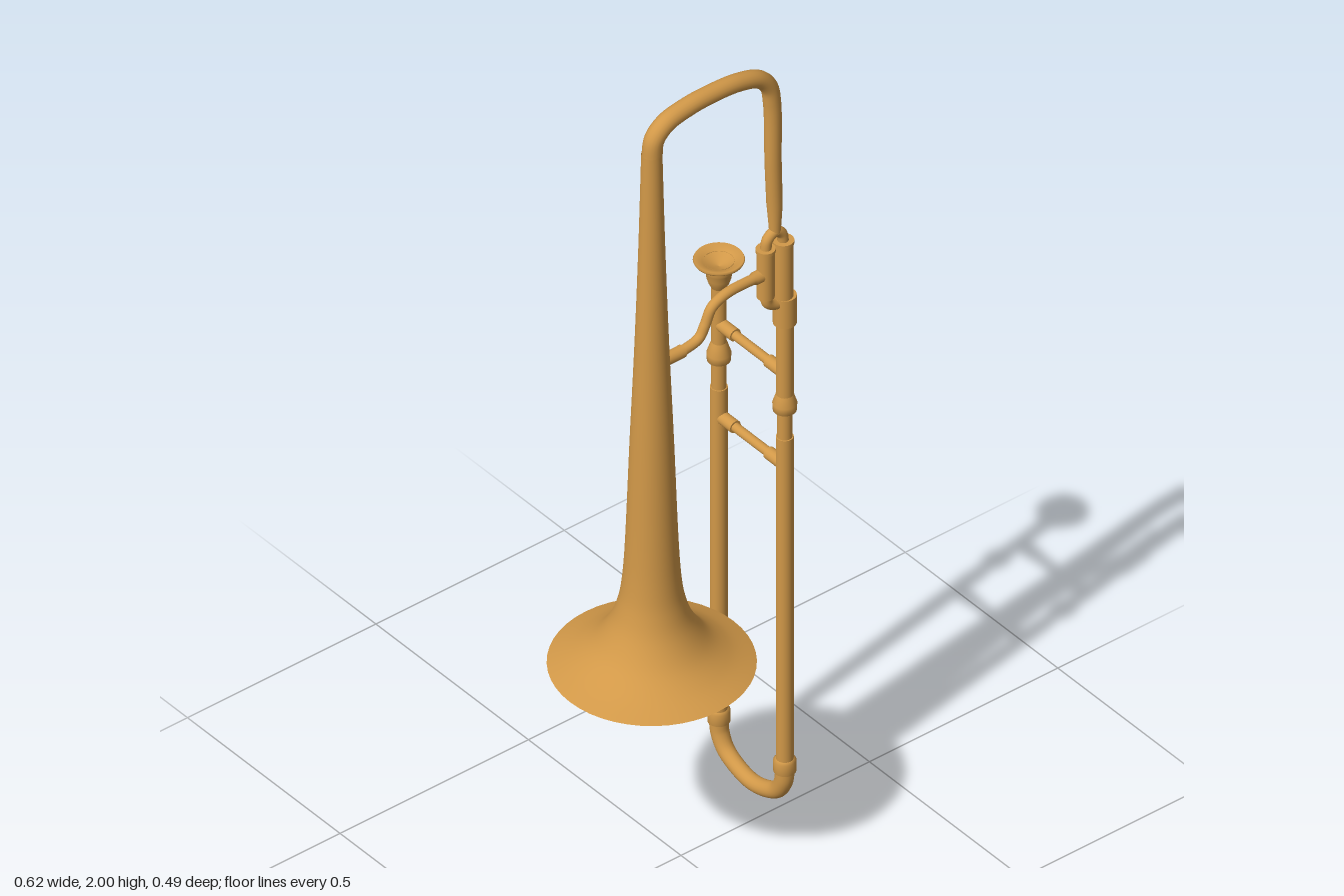
import * as THREE from 'three';

const brass = new THREE.MeshStandardMaterial({ color: 0xd19848, side: THREE.DoubleSide });
const V = (x, y, z) => new THREE.Vector3(x, y, z);

const BELL_X = -0.097, SLIDE_X = 0.256, FRONT_Z = 0.024, BACK_Z = -0.192;

function add(parent, name, geometry, x = 0, y = 0, z = 0) {
  const mesh = new THREE.Mesh(geometry, brass);
  mesh.name = name;
  mesh.position.set(x, y, z);
  parent.add(mesh);
  return mesh;
}

// Upright cylinder between two heights
function rod(parent, name, x, z, y0, y1, r, rTop = r) {
  return add(parent, name, new THREE.CylinderGeometry(rTop, r, y1 - y0, 28), x, (y0 + y1) / 2, z);
}

// Turned part from [radius, height] pairs; soft = smooth the profile
function turned(parent, name, x, z, pairs, soft = false) {
  let pts = pairs.map(([r, y]) => new THREE.Vector2(r, y));
  if (soft) pts = new THREE.SplineCurve(pts).getPoints(60);
  return add(parent, name, new THREE.LatheGeometry(pts, 48), x, 0, z);
}

// Bent tube whose radius follows radiusAt(t)
function bentTube(parent, name, points, radiusAt, segments = 64) {
  const curve = new THREE.CatmullRomCurve3(points);
  const geo = new THREE.TubeGeometry(curve, segments, 1, 20);
  const pos = geo.attributes.position, p = V(0, 0, 0);
  for (let i = 0; i < pos.count; i++) {
    const t = Math.floor(i / 21) / segments;
    const c = curve.getPointAt(t);
    p.fromBufferAttribute(pos, i).sub(c).multiplyScalar(radiusAt(t)).add(c);
    pos.setXYZ(i, p.x, p.y, p.z);
  }
  return add(parent, name, geo);
}

export function createModel() {
  const model = new THREE.Group();
  model.name = 'trombone';

  // Flared bell
  turned(model, 'bell', BELL_X, FRONT_Z, [
    [0.217, 0.573], [0.165, 0.598], [0.122, 0.632], [0.09, 0.68], [0.072, 0.73], [0.062, 0.79],
    [0.055, 0.9], [0.046, 1.15], [0.036, 1.4], [0.028, 1.65], [0.022, 1.9],
  ], true);

  // Tuning bow over the top, narrowing down to the valve
  bentTube(model, 'tuningBow', [
    V(BELL_X, 1.89, FRONT_Z), V(-0.09, 1.935, FRONT_Z), V(-0.06, 1.963, FRONT_Z), V(0, 1.977, FRONT_Z),
    V(0.06, 1.98, FRONT_Z), V(0.13, 1.975, FRONT_Z), V(0.185, 1.957, FRONT_Z), V(0.213, 1.925, FRONT_Z),
    V(0.222, 1.88, FRONT_Z), V(0.225, 1.72, FRONT_Z), V(0.229, 1.6, FRONT_Z), V(0.23, 1.535, FRONT_Z),
  ], t => t < 0.9 ? 0.022 - 0.0055 * t : 0.017 - 0.05 * (t - 0.9), 120);

  // Twin valve barrels joined by a small bow above and an elbow below
  const valve = new THREE.Group();
  valve.name = 'valve';
  model.add(valve);
  rod(valve, 'outerBarrel', 0.252, FRONT_Z, 1.355, 1.5, 0.021);
  rod(valve, 'innerBarrel', 0.205, FRONT_Z, 1.38, 1.5, 0.019);
  rod(valve, 'outerCap', 0.252, FRONT_Z, 1.497, 1.505, 0.023);
  rod(valve, 'innerCap', 0.205, FRONT_Z, 1.497, 1.505, 0.021);
  bentTube(valve, 'upperBow', [
    V(0.205, 1.5, FRONT_Z), V(0.21, 1.525, FRONT_Z), V(0.229, 1.538, FRONT_Z),
    V(0.247, 1.525, FRONT_Z), V(0.252, 1.5, FRONT_Z),
  ], () => 0.012, 32);
  bentTube(valve, 'lowerElbow', [
    V(0.205, 1.39, FRONT_Z), V(0.209, 1.362, FRONT_Z), V(0.228, 1.348, FRONT_Z), V(0.256, 1.345, FRONT_Z),
  ], () => 0.012, 32);
  rod(valve, 'slideReceiver', SLIDE_X, FRONT_Z, 1.288, 1.36, 0.025);

  // S-shaped brace from bell to valve
  bentTube(model, 'bellBrace', [
    V(-0.07, 1.345, FRONT_Z), V(-0.01, 1.346, FRONT_Z), V(0.028, 1.357, FRONT_Z), V(0.045, 1.385, FRONT_Z),
    V(0.062, 1.42, FRONT_Z), V(0.1, 1.438, FRONT_Z), V(0.2, 1.44, FRONT_Z),
  ], t => t < 0.18 || t > 0.92 ? 0.0145 : 0.0115);

  // Two slide legs with collars and ferrules
  for (const [side, z, top] of [['front', FRONT_Z, 1.29], ['back', BACK_Z, 1.26]]) {
    const leg = new THREE.Group();
    leg.name = side + 'SlideLeg';
    model.add(leg);
    rod(leg, 'outerTube', SLIDE_X, z, 0.14, 0.99, 0.0185);
    rod(leg, 'middleTube', SLIDE_X, z, 0.985, 1.065, 0.016);
    rod(leg, 'upperTube', SLIDE_X, z, 1.06, top, z > 0 ? 0.0185 : 0.016);
    turned(leg, 'ferrule', SLIDE_X, z, [
      [0.016, 1.055], [0.025, 1.06], [0.026, 1.078], [0.019, 1.1], [0.016, 1.108],
    ]);
    turned(leg, 'lowerCollar', SLIDE_X, z, [
      [0.018, 0.113], [0.024, 0.117], [0.024, 0.145], [0.018, 0.15],
    ]);
  }

  // Bow at the foot of the slide
  bentTube(model, 'slideBow', [
    V(SLIDE_X, 0.13, FRONT_Z), V(SLIDE_X, 0.09, 0.021), V(SLIDE_X, 0.055, 0.002),
    V(SLIDE_X, 0.033, -0.035), V(SLIDE_X, 0.0225, -0.084), V(SLIDE_X, 0.033, -0.133),
    V(SLIDE_X, 0.055, -0.17), V(SLIDE_X, 0.09, -0.189), V(SLIDE_X, 0.13, BACK_Z),
  ], t => 0.021 - 0.003 * Math.sin(Math.PI * t));

  // Hand braces with thicker end sockets
  for (const y of [0.915, 1.155]) {
    const brace = new THREE.Group();
    brace.name = 'handBrace';
    model.add(brace);
    for (const [name, z0, z1, r] of [
      ['bar', BACK_Z, FRONT_Z, 0.0105], ['frontSocket', -0.028, FRONT_Z, 0.0145], ['backSocket', BACK_Z, -0.138, 0.0145],
    ]) add(brace, name, new THREE.CylinderGeometry(r, r, z1 - z0, 20), SLIDE_X, y, (z0 + z1) / 2).rotation.x = Math.PI / 2;
  }

  // Mouthpiece: shank, cup and wide rim with a shallow hollow
  turned(model, 'mouthpieceCup', SLIDE_X, BACK_Z, [
    [0.016, 1.25], [0.022, 1.262], [0.026, 1.275], [0.028, 1.29], [0.032, 1.297], [0.032, 1.318],
  ]);
  turned(model, 'mouthpieceRim', SLIDE_X, BACK_Z, [
    [0.03, 1.315], [0.052, 1.317], [0.054, 1.321], [0.052, 1.325], [0.035, 1.319], [0.018, 1.308], [0, 1.303],
  ]);

  return model;
}
